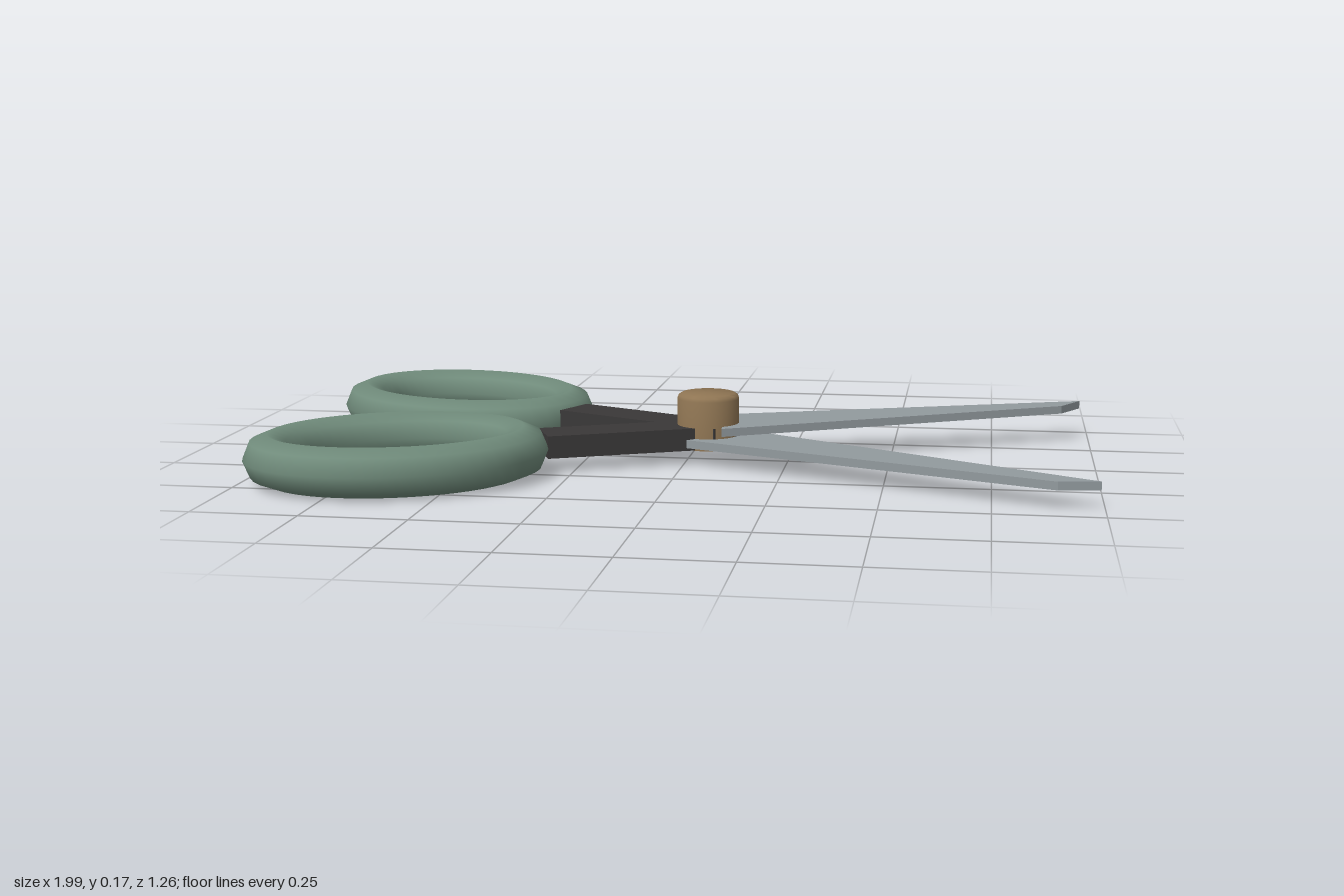
import * as THREE from 'three';
import { toCreasedNormals } from 'three/addons/utils/BufferGeometryUtils.js';

const material = (name, color) => {
  const m = new THREE.MeshStandardMaterial({ color });
  m.name = name;
  return m;
};

// Closed ellipse lying flat, used as the centre line of a finger ring
class FlatEllipse extends THREE.Curve {
  constructor(a, b) {
    super();
    this.a = a;
    this.b = b;
  }
  getPoint(t, target = new THREE.Vector3()) {
    const u = t * Math.PI * 2;
    return target.set(this.a * Math.cos(u), 0, this.b * Math.sin(u));
  }
}

export function createModel() {
  const green = material('sage green grip', 0x708b7b);
  const steel = material('grey steel', 0x929a9e);
  const dark = material('charcoal', 0x3a3838);
  const brass = material('brown brass', 0x8f7553);

  const model = new THREE.Group();
  model.name = 'scissors';

  const add = (parent, name, geometry, mat, x = 0, y = 0) => {
    const mesh = new THREE.Mesh(geometry, mat);
    mesh.name = name;
    mesh.position.set(x, y, 0);
    parent.add(mesh);
  };

  // Geometry shared by both halves, with the pivot at the origin
  const outline = new THREE.Shape([
    [0.074, -0.09], [1.03, -0.015], [0.95, 0.041], [0.003, 0.101],
  ].map(([x, z]) => new THREE.Vector2(x, z)));
  const blade = new THREE.ExtrudeGeometry(outline, { depth: 0.02, bevelEnabled: false });
  blade.rotateX(Math.PI / 2);
  const arm = new THREE.BoxGeometry(0.476, 0.055, 0.114);
  const ring = new THREE.TubeGeometry(new FlatEllipse(0.304, 0.226), 48, 0.059, 8, true);

  // Two halves opened about the pivot
  const halves = [
    { name: 'upperHalf', angle: 25, bladeTop: 0.094 },
    { name: 'lowerHalf', angle: -25, bladeTop: 0.064 },
  ];
  for (const { name, angle, bladeTop } of halves) {
    const half = new THREE.Group();
    half.name = name;
    half.position.x = 0.05;
    half.rotation.y = THREE.MathUtils.degToRad(angle);
    add(half, 'blade', blade, steel, 0, bladeTop);
    add(half, 'arm', arm, dark, -0.182, 0.0625);
    add(half, 'fingerRing', ring, green, -0.774, 0.059);
    model.add(half);
  }

  // Pivot screw with a softened top rim
  const profile = [
    [0, 0.034], [0.077, 0.034], [0.077, 0.155], [0.074, 0.163], [0.066, 0.168], [0, 0.168],
  ].map(([r, y]) => new THREE.Vector2(r, y));
  const screw = toCreasedNormals(new THREE.LatheGeometry(profile, 32), 0.7);
  add(model, 'pivotScrew', screw, brass, 0.05);

  return model;
}
